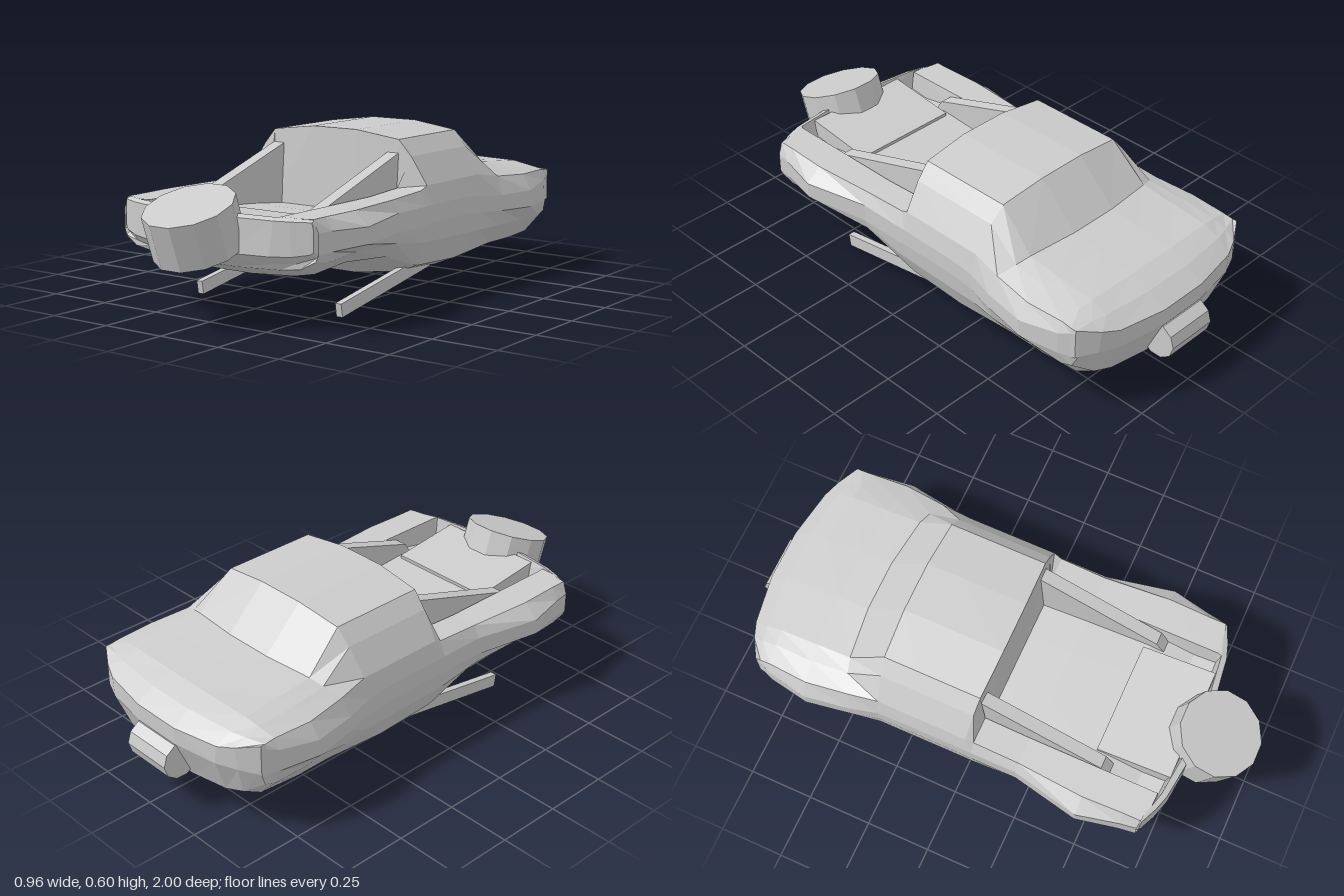
import * as THREE from 'three';

const material = new THREE.MeshStandardMaterial({ color: 0xcccccc, flatShading: true });
const lerp = THREE.MathUtils.lerp;

function addMesh(group, name, geometry, x = 0, y = 0, z = 0, tilt = 0) {
  const mesh = new THREE.Mesh(geometry, material);
  mesh.name = name;
  mesh.position.set(x, y, z);
  mesh.rotation.x = tilt;
  group.add(mesh);
}

// Stations from nose to tail: z, bottom y, bottom half width, belt half width,
// belt low y, belt high y, shoulder half width, shoulder y, top half width, top y, bow
const nose = [
  [0.785, 0.26, 0.35, 0.42, 0.285, 0.36, 0.415, 0.385, 0.29, 0.385, -0.08],
  [0.76, 0.23, 0.36, 0.43, 0.28, 0.36, 0.415, 0.392, 0.29, 0.395, -0.07],
];
const cockpit = [
  [0.735, 0.205, 0.37, 0.435, 0.275, 0.35, 0.415, 0.395, 0.285, 0.32, -0.03],
  [0.64, 0.165, 0.37, 0.445, 0.28, 0.35, 0.415, 0.395, 0.285, 0.31, 0],
  [0.48, 0.185, 0.38, 0.48, 0.285, 0.345, 0.42, 0.395, 0.285, 0.34, 0],
  [0.22, 0.155, 0.37, 0.425, 0.28, 0.35, 0.40, 0.395, 0.285, 0.32, 0],
  [0.04, 0.075, 0.37, 0.425, 0.28, 0.35, 0.40, 0.405, 0.285, 0.30, 0],
];
const cabin = [
  [0.025, 0.065, 0.37, 0.425, 0.285, 0.35, 0.405, 0.42, 0.287, 0.605, -0.02],
  [-0.23, 0.05, 0.37, 0.425, 0.285, 0.35, 0.405, 0.42, 0.287, 0.605, 0],
  [-0.37, 0.065, 0.37, 0.425, 0.275, 0.34, 0.405, 0.42, 0.287, 0.605, 0.03],
  [-0.53, 0.08, 0.37, 0.45, 0.27, 0.33, 0.42, 0.40, 0.30, 0.45, 0.07],
  [-0.65, 0.08, 0.37, 0.477, 0.265, 0.33, 0.44, 0.39, 0.30, 0.435, 0.02],
  [-0.80, 0.085, 0.36, 0.45, 0.265, 0.35, 0.43, 0.39, 0.30, 0.42, 0.02],
  [-0.88, 0.12, 0.34, 0.435, 0.265, 0.365, 0.43, 0.385, 0.30, 0.39, 0.06],
  [-0.95, 0.28, 0.36, 0.43, 0.265, 0.37, 0.43, 0.385, 0.29, 0.345, 0.11],
];

// Mirrored cross-section; a recessed one drops to the cockpit floor inside the rim
function section([z, yb, b, w, yl, yh, ws, ys, wr, yr, bow], recessed) {
  const half = [
    [0.1, yb],
    [b * 0.78, lerp(yb, yl, 0.12)],
    [b, lerp(yb, yl, 0.26)],
    [Math.min(w - 0.01, 0.43), lerp(yb, yl, 0.68)],
    [w, yl],
    [w, yh],
    [ws, ys],
    recessed ? [wr + 0.01, ys] : [lerp(ws, wr, 0.55), lerp(ys, yr, 0.55)],
    [wr, recessed ? yr : yr - (yr - ys) * 0.13],
    [0.1, yr],
  ];
  const loop = [...half, ...half.map(([x, y]) => [-x, y]).reverse()];
  return loop.map(([x, y]) => [x, y, z + bow * (Math.abs(x) / 0.43) ** 3]);
}

// Joins the cross-sections and closes both ends with upright strips
function loft(loops) {
  const positions = [];
  const tri = (a, b, c) => positions.push(...a, ...b, ...c);
  const n = loops[0].length;
  for (let i = 0; i < loops.length - 1; i++) {
    for (let j = 0; j < n; j++) {
      const k = (j + 1) % n;
      const a = loops[i][j], b = loops[i][k], c = loops[i + 1][k], d = loops[i + 1][j];
      tri(a, d, b);
      tri(b, d, c);
    }
  }
  const strips = [[0, 9, 10, 19]];
  for (let j = 0; j < 4; j++) {
    strips.push([j, j + 1, 8 - j, 9 - j], [10 + j, 11 + j, 18 - j, 19 - j]);
  }
  const first = loops[0], last = loops[loops.length - 1];
  for (const [a, b, c, d] of strips) {
    tri(first[a], first[b], first[c]);
    tri(first[a], first[c], first[d]);
    tri(last[a], last[c], last[b]);
    tri(last[a], last[d], last[c]);
  }
  const geometry = new THREE.BufferGeometry();
  geometry.setAttribute('position', new THREE.Float32BufferAttribute(positions, 3));
  geometry.computeVertexNormals();
  return geometry;
}

export function createModel() {
  const model = new THREE.Group();
  model.name = 'vehicle';

  // Body shell with open cockpit and raised rear cabin
  addMesh(model, 'body', loft([
    ...nose.map((s) => section(s, false)),
    ...cockpit.map((s) => section(s, true)),
    ...cabin.map((s) => section(s, false)),
  ]));

  // Shelf between cockpit floor and nose
  addMesh(model, 'frontShelf', new THREE.BoxGeometry(0.44, 0.08, 0.29), 0, 0.33, 0.605, -0.12);

  // Drum leaning forward at the nose
  const drum = new THREE.CylinderGeometry(0.164, 0.164, 0.168, 12).rotateY(Math.PI / 12);
  addMesh(model, 'noseDrum', drum, 0, 0.342, 0.822, 0.34);

  // Roller across the tail
  const roller = new THREE.CylinderGeometry(0.073, 0.073, 0.205, 10).rotateZ(Math.PI / 2);
  addMesh(model, 'tailRoller', roller, 0, 0.203, -0.927);

  // Sloping plates beside the cockpit, drawn in the side plane (-z, y)
  const plate = new THREE.Shape([
    new THREE.Vector2(0.02, 0.545),
    new THREE.Vector2(-0.5, 0.378),
    new THREE.Vector2(-0.56, 0.29),
    new THREE.Vector2(0.02, 0.28),
  ]);
  const plateGeometry = new THREE.ExtrudeGeometry(plate, { depth: 0.05, bevelEnabled: false })
    .translate(0, 0, -0.025)
    .rotateY(Math.PI / 2);

  for (const side of [1, -1]) {
    const label = side > 0 ? 'left' : 'right';
    addMesh(model, label + 'CockpitPlate', plateGeometry, side * 0.264);
    // Skid rod under each side
    addMesh(model, label + 'SkidRod', new THREE.BoxGeometry(0.026, 0.05, 0.56), side * 0.319, 0.071, 0.156, 0.165);
  }
  return model;
}
